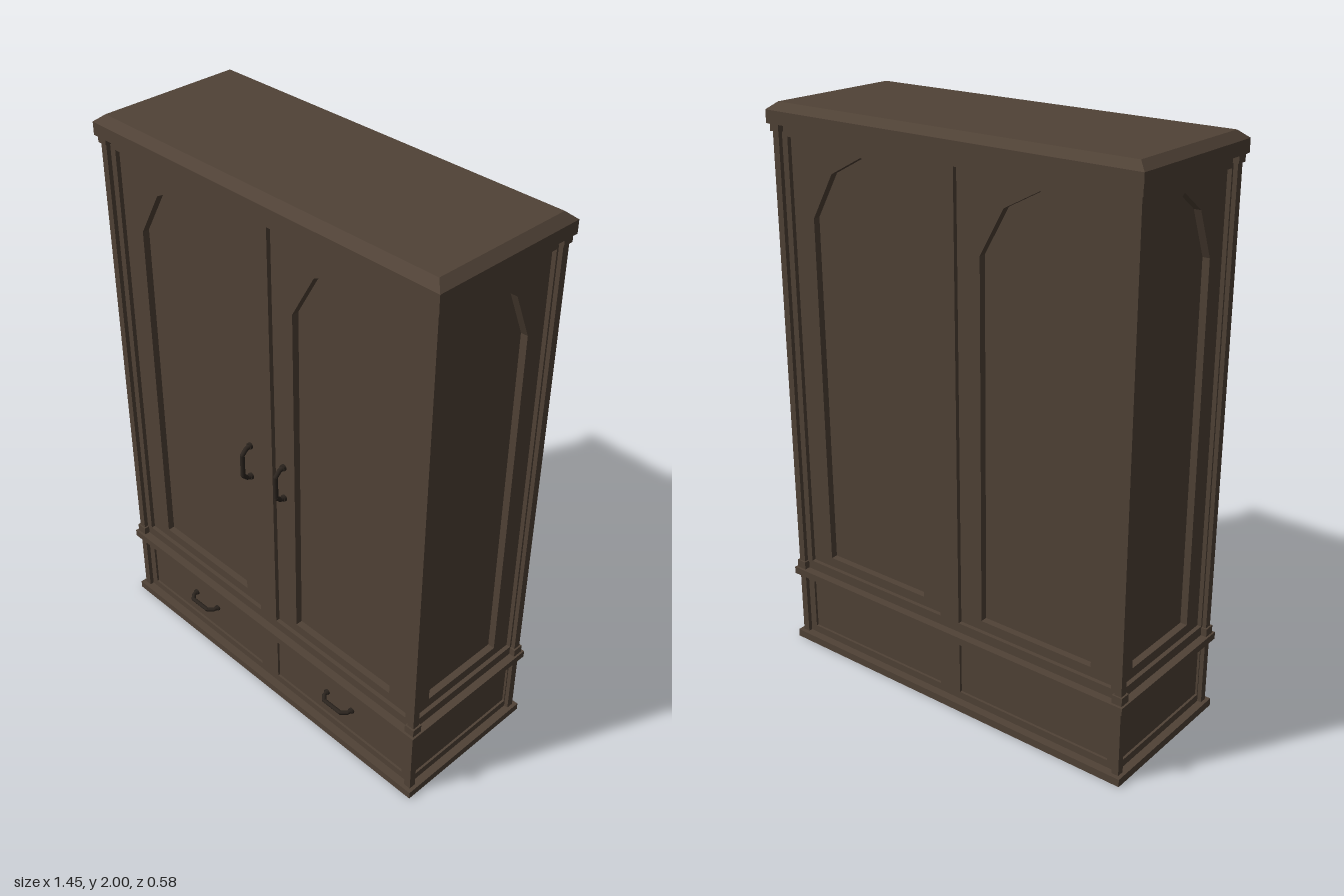
import * as THREE from 'three';

const wood = new THREE.MeshStandardMaterial({ color: 0x504236 });
wood.name = 'dark wood';
const iron = new THREE.MeshStandardMaterial({ color: 0x2b241e });
iron.name = 'dark iron';

const FRONT = 0.255, SIDE = 0.695; // outer faces of the frame
const BOTTOM = 0.02, TOP = 1.94;

function add(parent, name, geometry, material = wood) {
  const mesh = new THREE.Mesh(geometry, material);
  mesh.name = name;
  parent.add(mesh);
  return mesh;
}

function box(parent, name, w, h, d, x, y, z) {
  const mesh = add(parent, name, new THREE.BoxGeometry(w, h, d));
  mesh.position.set(x, y, z);
  return mesh;
}

const polygon = (pts) => pts.map(([x, y]) => new THREE.Vector2(x, y));
const rect = (x0, y0, x1, y1) => polygon([[x0, y0], [x1, y0], [x1, y1], [x0, y1]]);
const arch = (cx, half) => polygon([
  [cx - half, 0.365], [cx + half, 0.365], [cx + half, 1.63],
  [cx + half * 0.59, 1.79], [cx, 1.86], [cx - half * 0.59, 1.79], [cx - half, 1.63],
]);

// A flat board with cut-outs, lying between z and z + depth
function board(parent, name, half, holes, z, depth) {
  const shape = new THREE.Shape(rect(-half, BOTTOM, half, TOP));
  shape.holes = holes.map((h) => new THREE.Path(h));
  const g = new THREE.ExtrudeGeometry(shape, { depth, bevelEnabled: false });
  g.translate(0, 0, z);
  add(parent, name, g);
}

// One wall: outer frame, recessed arched doors and recessed drawer panels
function wall(name, half, face, bays, doorHalf, archHalf, drawerHalf) {
  const g = new THREE.Group();
  g.name = name;
  board(g, 'outerFrame', half, bays.flatMap((c) => [
    rect(c - doorHalf, 0.33, c + doorHalf, 1.89),
    rect(c - drawerHalf, 0.055, c + drawerHalf, 0.25),
  ]), face - 0.015, 0.015);
  board(g, 'archedDoors', half - 0.016, bays.map((c) => arch(c, archHalf)), face - 0.04, 0.025);
  for (const c of bays) {
    box(g, 'drawerPanel', drawerHalf * 2 - 0.004, 0.191, 0.02, c, 0.1525, face - 0.017);
  }
  return g;
}

// Bent pull handle running along y, centred on the origin
function handle(name) {
  const g = new THREE.Group();
  g.name = name;
  const pts = [[-0.064, 0], [-0.06, 0.02], [-0.042, 0.038], [0.042, 0.038], [0.06, 0.02], [0.064, 0]]
    .map(([y, z]) => new THREE.Vector3(0, y, z));
  for (let i = 0; i < pts.length - 1; i++) {
    const dir = pts[i + 1].clone().sub(pts[i]);
    const rod = add(g, 'handleRod', new THREE.CylinderGeometry(0.008, 0.008, dir.length() + 0.004, 8), iron);
    rod.position.copy(pts[i]).addScaledVector(dir, 0.5);
    rod.quaternion.setFromUnitVectors(new THREE.Vector3(0, 1, 0), dir.normalize());
  }
  for (const s of [-1, 1]) {
    const foot = add(g, 'handleFoot', new THREE.CylinderGeometry(0.012, 0.012, 0.01, 10), iron);
    foot.rotation.x = Math.PI / 2;
    foot.position.set(0, s * 0.063, 0.004);
  }
  return g;
}

export function createModel() {
  const model = new THREE.Group();
  model.name = 'wardrobe';
  const body = new THREE.Group();
  body.name = 'body';
  body.position.z = -0.003;
  model.add(body);

  box(body, 'core', 1.31, TOP - BOTTOM, 0.43, 0, (TOP + BOTTOM) / 2, 0);

  // Four walls; front and back have two bays, sides have one
  for (const [name, turn] of [['frontWall', 0], ['backWall', Math.PI]]) {
    const w = wall(name, SIDE, FRONT, [-0.35, 0.35], 0.31, 0.222, 0.307);
    w.rotation.y = turn;
    body.add(w);
  }
  for (const [name, turn] of [['leftWall', Math.PI / 2], ['rightWall', -Math.PI / 2]]) {
    const w = wall(name, FRONT, SIDE, [0], 0.237, 0.165, 0.24);
    w.rotation.y = turn;
    body.add(w);
  }

  // Corner posts with base and capital blocks
  for (const sx of [-1, 1]) for (const sz of [-1, 1]) {
    const x = sx * 0.697, z = sz * 0.257;
    box(body, 'cornerPost', 0.026, TOP - BOTTOM, 0.026, x, (TOP + BOTTOM) / 2, z);
    box(body, 'postBase', 0.038, 0.03, 0.038, x, 0.31, z);
    box(body, 'postCapital', 0.038, 0.027, 0.038, x, 1.919, z);
  }

  // Horizontal mouldings
  box(body, 'plinth', 1.446, 0.028, 0.57, 0, 0.014, 0);
  box(body, 'waistMoulding', 1.446, 0.026, 0.57, 0, 0.283, 0);
  box(body, 'crown', 1.446, 0.044, 0.57, 0, 1.953, 0);

  // Bevelled crown top
  const bevel = new THREE.BoxGeometry(1.446, 0.025, 0.57);
  const p = bevel.attributes.position;
  for (let i = 0; i < p.count; i++) {
    if (p.getY(i) > 0) {
      p.setX(i, Math.sign(p.getX(i)) * 0.692);
      p.setZ(i, Math.sign(p.getZ(i)) * 0.256);
    }
  }
  bevel.computeVertexNormals();
  add(body, 'crownTop', bevel).position.y = 1.9875;

  // Handles on the front doors and drawers
  for (const s of [-1, 1]) {
    const door = handle('doorHandle');
    door.position.set(s * 0.08, 0.972, FRONT - 0.015);
    body.add(door);
    const drawer = handle('drawerHandle');
    drawer.rotation.z = Math.PI / 2;
    drawer.position.set(s * 0.352, 0.16, FRONT - 0.008);
    drawer.scale.set(0.85, 0.95, 1);
    body.add(drawer);
  }
  return model;
}
